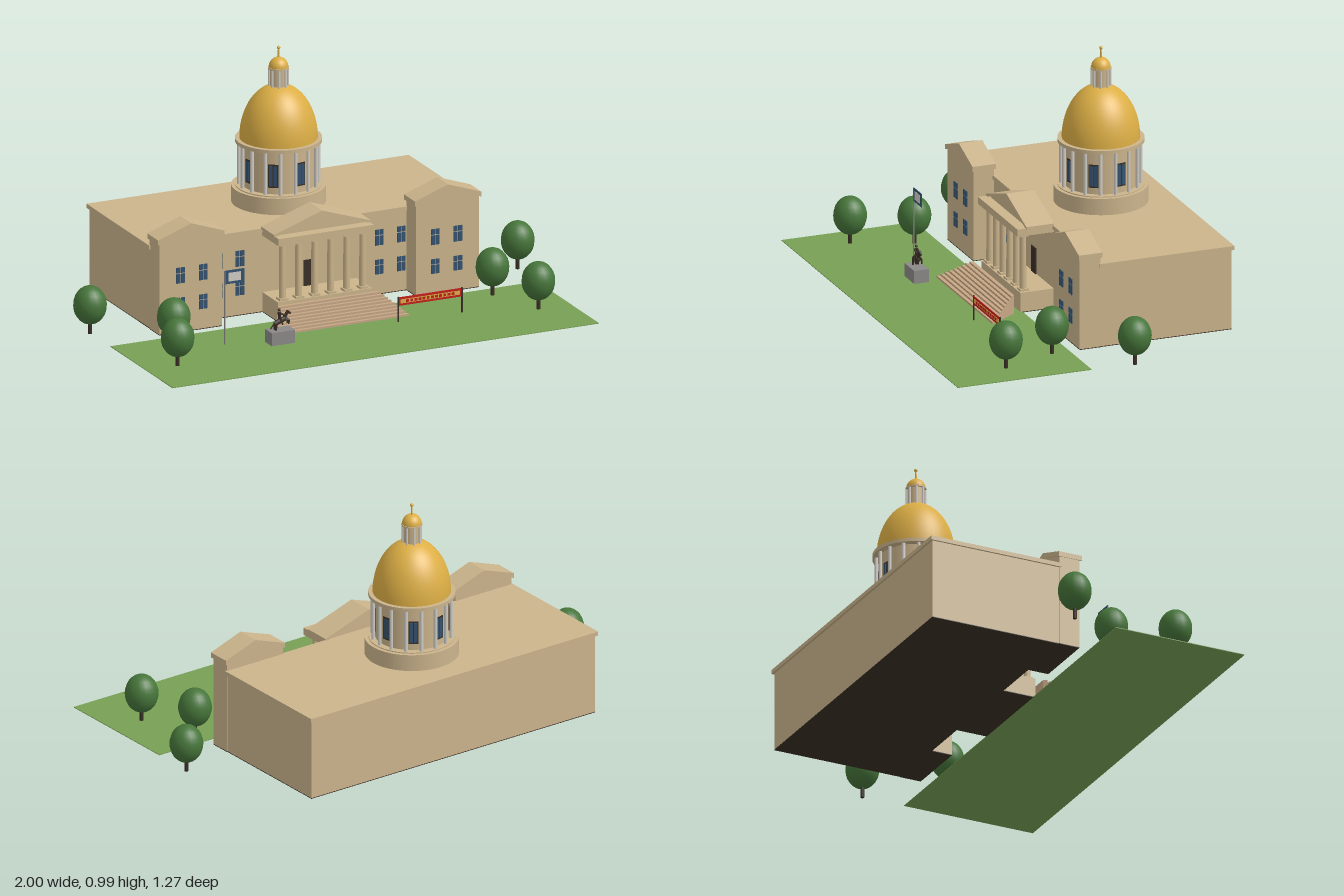
import * as THREE from 'three';

const mat = (name, color) => Object.assign(new THREE.MeshStandardMaterial({ color }), { name });

export function createModel() {
  const M = {
    stone: mat('stone', 0xcbb48c),
    step: mat('stepStone', 0xc6a684),
    pale: mat('paleStone', 0xd0ccc4),
    grass: mat('grass', 0x779f54),
    gold: mat('gold', 0xdcae45),
    leaf: mat('foliage', 0x46753a),
    dark: mat('darkBronze', 0x3a2f26),
    grey: mat('granite', 0x8b8987),
    glass: mat('blueGlass', 0x34526e),
    red: mat('red', 0xc41e1a),
  };
  const model = new THREE.Group();
  model.name = 'domedCapitol';

  const group = (name, parent = model) => {
    const g = new THREE.Group();
    g.name = name;
    parent.add(g);
    return g;
  };
  const add = (parent, name, geo, m, x = 0, y = 0, z = 0) => {
    const mesh = new THREE.Mesh(geo, m);
    mesh.name = name;
    mesh.position.set(x, y, z);
    parent.add(mesh);
    return mesh;
  };
  // box given by its limits on each axis
  const box = (parent, name, m, x0, x1, y0, y1, z0, z1) =>
    add(parent, name, new THREE.BoxGeometry(x1 - x0, y1 - y0, z1 - z0), m, (x0 + x1) / 2, (y0 + y1) / 2, (z0 + z1) / 2);
  const cyl = (parent, name, m, r, y0, y1, x = 0, z = 0, sides = 16, rTop = r) =>
    add(parent, name, new THREE.CylinderGeometry(rTop, r, y1 - y0, sides), m, x, (y0 + y1) / 2, z);
  // outline in x,y extruded from z0 to z1
  const prism = (parent, name, m, pts, z0, z1) => {
    const shape = new THREE.Shape(pts.map(([x, y]) => new THREE.Vector2(x, y)));
    const geo = new THREE.ExtrudeGeometry(shape, { depth: z1 - z0, bevelEnabled: false });
    return add(parent, name, geo, m, 0, 0, z0);
  };
  // round bar between two points
  const bar = (parent, name, m, a, b, r0, r1 = r0) => {
    const A = new THREE.Vector3(...a), B = new THREE.Vector3(...b), d = B.clone().sub(A);
    const mesh = add(parent, name, new THREE.CylinderGeometry(r1, r0, d.length(), 8), m);
    mesh.position.copy(A).add(B).multiplyScalar(0.5);
    mesh.quaternion.setFromUnitVectors(new THREE.Vector3(0, 1, 0), d.normalize());
    return mesh;
  };

  // lawn
  box(model, 'lawn', M.grass, -0.93, 0.93, 0, 0.003, 0.065, 0.632);

  // main block and cornice on a dark foundation
  const ground = 0.003;
  const hall = group('mainBuilding');
  box(hall, 'foundation', M.dark, -0.695, 0.695, 0, ground, -0.625, -0.067);
  box(hall, 'mainBlock', M.stone, -0.695, 0.695, ground, 0.335, -0.625, -0.067);
  box(hall, 'cornice', M.stone, -0.703, 0.703, 0.333, 0.35, -0.634, -0.06);

  // windows: two tall panes, each split by a transom
  const windowAt = (x, y, z, h) => {
    const w = group('window');
    for (const s of [-1, 1]) {
      const cx = x + s * 0.01;
      box(w, 'lowerPane', M.glass, cx - 0.008, cx + 0.008, y, y + h * 0.6, z - 0.003, z + 0.003);
      box(w, 'upperPane', M.glass, cx - 0.008, cx + 0.008, y + h * 0.66, y + h, z - 0.003, z + 0.003);
    }
  };

  // gabled wings at both ends
  for (const s of [-1, 1]) {
    const wing = group(s > 0 ? 'leftWing' : 'rightWing');
    wing.position.x = s * 0.56;
    box(wing, 'wingFoundation', M.dark, -0.137, 0.137, 0, ground, -0.067, 0.021);
    prism(wing, 'wingBody', M.stone,
      [[-0.137, ground], [0.137, ground], [0.137, 0.385], [0, 0.432], [-0.137, 0.385]], -0.067, 0.021);
    prism(wing, 'wingRoof', M.stone,
      [[-0.145, 0.377], [0, 0.428], [0.145, 0.377], [0.145, 0.398], [0, 0.449], [-0.145, 0.398]], -0.072, 0.028);
    for (const [x, z] of [[0.605, 0.022], [0.506, 0.022], [0.4, -0.066], [0.304, -0.066]]) {
      windowAt(s * x, 0.205, z, 0.065);
      windowAt(s * x, 0.085, z, 0.06);
    }
  }

  // entrance portico
  const portico = group('portico');
  box(portico, 'porticoFoundation', M.dark, -0.205, 0.205, 0, ground, -0.067, 0.065);
  box(portico, 'podium', M.stone, -0.205, 0.205, ground, 0.083, -0.067, 0.075);
  box(portico, 'entablature', M.stone, -0.208, 0.208, 0.32, 0.35, -0.067, 0.088);
  prism(portico, 'pediment', M.stone, [[-0.19, 0.35], [0.19, 0.35], [0, 0.417]], -0.06, 0.043);
  prism(portico, 'pedimentRoof', M.stone,
    [[-0.212, 0.345], [0, 0.414], [0.212, 0.345], [0.212, 0.357], [0, 0.428], [-0.212, 0.357]], -0.066, 0.052);
  box(portico, 'door', M.dark, -0.025, 0.025, 0.083, 0.19, -0.068, -0.062);
  for (let i = 0; i < 6; i++) {
    const x = -0.175 + i * 0.07;
    cyl(portico, 'columnShaft', M.stone, 0.014, 0.083, 0.32, x, 0.052, 16, 0.012);
    box(portico, 'columnBase', M.stone, x - 0.018, x + 0.018, 0.083, 0.092, 0.034, 0.07);
    box(portico, 'columnCapital', M.stone, x - 0.017, x + 0.017, 0.31, 0.32, 0.035, 0.069);
  }

  // flared front steps: nested trapezoids
  const steps = group('frontSteps');
  const count = 9;
  for (let i = 0; i < count; i++) {
    const z = 0.23 - i * 0.0138, w = 0.212 + (z - 0.104) * 0.66;
    const shape = new THREE.Shape([[-0.212, -0.104], [-w, -z], [w, -z], [0.212, -0.104]].map(p => new THREE.Vector2(...p)));
    const geo = new THREE.ExtrudeGeometry(shape, { depth: (i + 1) * 0.0085, bevelEnabled: false });
    add(steps, 'step', geo.rotateX(-Math.PI / 2), M.step, 0, ground, 0);
  }

  // drum, dome and lantern
  const tower = group('domeTower');
  tower.position.z = -0.35;
  cyl(tower, 'drumBase', M.stone, 0.187, 0.35, 0.418, 0, 0, 64);
  cyl(tower, 'drumPlinth', M.stone, 0.172, 0.418, 0.422, 0, 0, 64);
  cyl(tower, 'drumWall', M.stone, 0.145, 0.418, 0.6, 0, 0, 48);
  cyl(tower, 'drumCornice', M.stone, 0.172, 0.598, 0.613, 0, 0, 64);
  for (let i = 0; i < 16; i++) {
    const a = i * Math.PI / 8;
    cyl(tower, 'drumColumn', M.pale, 0.0075, 0.418, 0.6, 0.157 * Math.sin(a), 0.157 * Math.cos(a), 12);
    if (i % 2) continue;
    const bay = group('drumWindow', tower);
    bay.rotation.y = a + Math.PI / 16;
    box(bay, 'windowFrame', M.dark, -0.02, 0.02, 0.449, 0.545, 0.141, 0.147);
    for (const s of [-1, 1])
      box(bay, 'windowPane', M.glass, s * 0.009 - 0.007, s * 0.009 + 0.007, 0.455, 0.539, 0.143, 0.149);
  }
  const domeProfile = (r, y, h) => Array.from({ length: 17 }, (_, i) => {
    const t = i / 16 * Math.PI / 2;
    return new THREE.Vector2(i === 16 ? 0 : r * Math.cos(t), y + h * Math.sin(t));
  });
  add(tower, 'dome', new THREE.LatheGeometry(domeProfile(0.155, 0.612, 0.222), 48), M.gold);
  cyl(tower, 'lanternWall', M.stone, 0.034, 0.815, 0.9, 0, 0, 24);
  cyl(tower, 'lanternCornice', M.stone, 0.042, 0.899, 0.905, 0, 0, 24);
  for (let i = 0; i < 8; i++) {
    const a = (i + 0.5) * Math.PI / 4;
    cyl(tower, 'lanternColumn', M.pale, 0.005, 0.82, 0.9, 0.037 * Math.sin(a), 0.037 * Math.cos(a), 10);
  }
  add(tower, 'lanternDome', new THREE.LatheGeometry(domeProfile(0.039, 0.904, 0.041), 24), M.gold);
  cyl(tower, 'spire', M.gold, 0.004, 0.943, 0.982, 0, 0, 10, 0.003);
  add(tower, 'finialBall', new THREE.SphereGeometry(0.007, 12, 8), M.gold, 0, 0.984, 0);

  // trees
  const spots = [[-0.933, -0.118], [0.933, -0.118], [-0.7, 0.16], [0.7, 0.14], [-0.795, 0.395], [0.79, 0.372]];
  for (const [x, z] of spots) {
    const tree = group('tree');
    cyl(tree, 'trunk', M.dark, 0.008, z > 0 ? ground : 0, 0.07, x, z, 10);
    add(tree, 'canopy', new THREE.SphereGeometry(0.067, 20, 14), M.leaf, x, 0.12, z).scale.y = 1.18;
  }

  // rearing horse and rider on a plinth
  const statue = group('equestrianStatue');
  statue.position.set(-0.307, 0, 0.309);
  box(statue, 'plinth', M.grey, -0.051, 0.051, ground, 0.057, -0.031, 0.031);
  bar(statue, 'horseBody', M.dark, [-0.024, 0.083, 0], [0.02, 0.1, 0], 0.01, 0.011);
  bar(statue, 'horseNeck', M.dark, [0.016, 0.1, 0], [0.033, 0.128, 0], 0.008, 0.006);
  bar(statue, 'horseHead', M.dark, [0.03, 0.128, 0], [0.046, 0.118, 0], 0.006, 0.004);
  bar(statue, 'horseTail', M.dark, [-0.024, 0.085, 0], [-0.042, 0.064, 0], 0.004, 0.002);
  for (const s of [-1, 1]) {
    bar(statue, 'hindLeg', M.dark, [-0.018, 0.085, s * 0.006], [-0.022, 0.057, s * 0.007], 0.006, 0.004);
    bar(statue, 'foreThigh', M.dark, [0.016, 0.098, s * 0.006], [0.037, 0.094, s * 0.007], 0.005, 0.004);
    bar(statue, 'foreShin', M.dark, [0.037, 0.094, s * 0.007], [0.034, 0.077, s * 0.007], 0.004, 0.003);
    bar(statue, 'riderLeg', M.dark, [-0.002, 0.105, s * 0.007], [0.006, 0.079, s * 0.012], 0.004, 0.003);
    bar(statue, 'riderArm', M.dark, [-0.004, 0.126, s * 0.007], [0.016, 0.116, s * 0.006], 0.003);
  }
  bar(statue, 'riderTorso', M.dark, [-0.002, 0.1, 0], [-0.004, 0.13, 0], 0.006, 0.007);
  add(statue, 'riderHead', new THREE.SphereGeometry(0.006, 10, 8), M.dark, -0.004, 0.139, 0);

  // flag on its pole
  const flag = group('flag');
  cyl(flag, 'flagPole', M.grey, 0.003, ground, 0.306, -0.514, 0.238, 10);
  box(flag, 'flagCloth', M.glass, -0.514, -0.43, 0.252, 0.308, 0.2365, 0.2395);
  box(flag, 'flagPanel', M.pale, -0.5, -0.444, 0.262, 0.298, 0.2355, 0.2405);

  // banner between two posts, with a checked gold band
  const banner = group('banner');
  for (const x of [0.222, 0.5]) cyl(banner, 'bannerPost', M.dark, 0.0035, ground, 0.106, x, 0.28, 10);
  box(banner, 'bannerCloth', M.red, 0.222, 0.5, 0.069, 0.104, 0.2785, 0.2815);
  box(banner, 'bannerBand', M.gold, 0.232, 0.49, 0.078, 0.095, 0.2775, 0.2825);
  for (let i = 0; i < 12; i++) {
    const x = 0.262 + i * 0.018;
    box(banner, 'bannerBlock', M.red, x - 0.006, x + 0.006, 0.081, 0.092, 0.2765, 0.2835);
  }

  return model;
}
